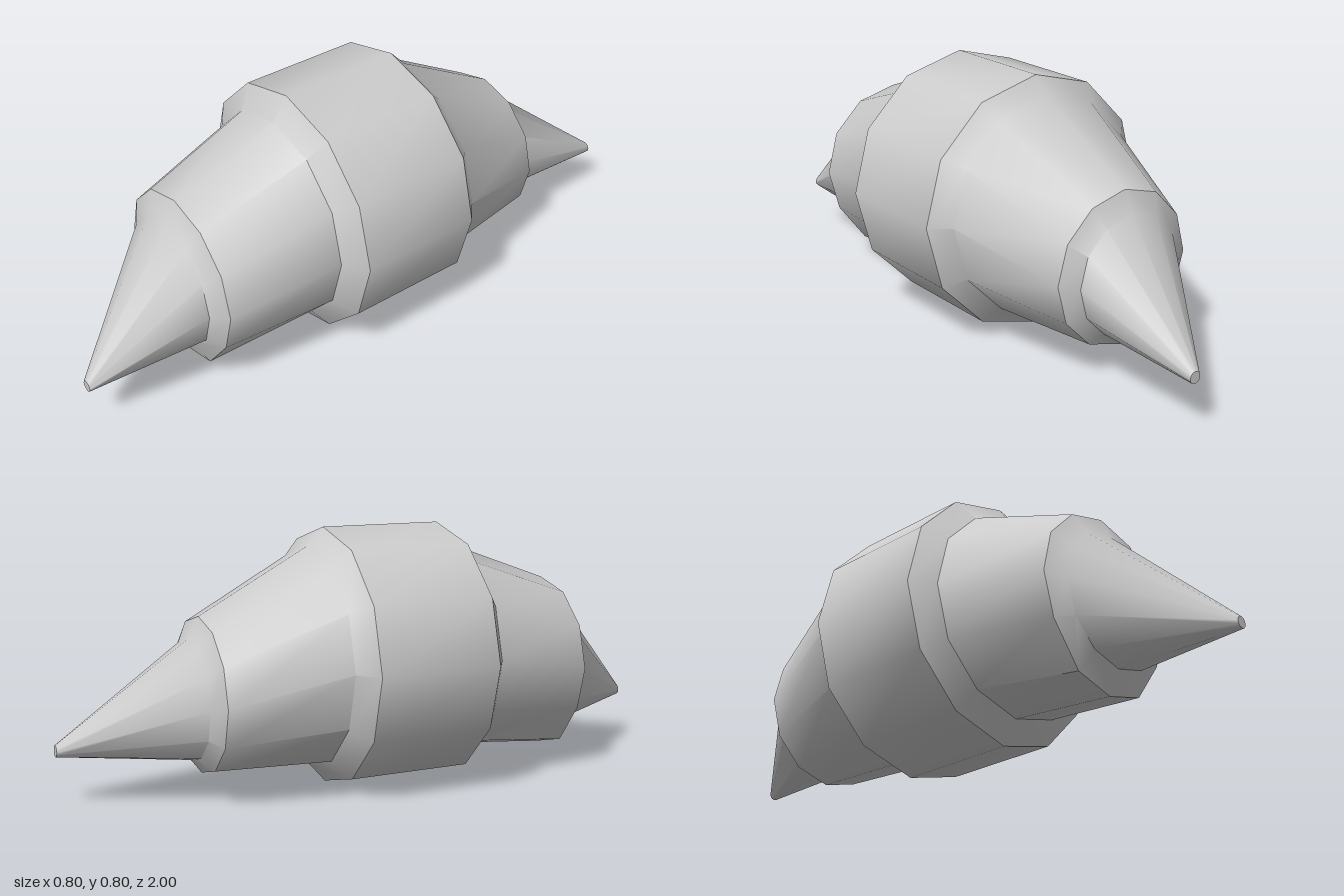
import * as THREE from 'three';
import { toCreasedNormals } from 'three/addons/utils/BufferGeometryUtils.js';

const SIDES = 12;

// Rings from front to back: z, centre x, centre y, radius, belly sag
const noseTip = [1, 0.088, 0.17, 0.018, 0];
const noseBase = [0.65, 0, 0.322, 0.208, 0];
const frontRim = [0.615, 0, 0.338, 0.266, 0.03];
const frontNeck = [0.265, 0, 0.402, 0.328, 0];
const bandFront = [0.215, 0, 0.402, 0.4, 0];
const bandBack = [-0.18, 0, 0.402, 0.4, 0];
const backNeck = [-0.235, 0, 0.405, 0.34, 0];
const backRim = [-0.587, 0, 0.316, 0.238, 0];
const tailBase = [-0.62, 0, 0.305, 0.184, 0];
const tailTip = [-1, 0.107, 0.167, 0.018, 0];

// Point j of a twelve-sided ring, with the three lowest corners sagging
function corner([z, cx, cy, r, sag], j) {
  const a = (j / SIDES) * Math.PI * 2;
  const drop = Math.cos(a) < -0.8 ? sag : 0;
  return [cx + r * Math.sin(a), cy + r * Math.cos(a) - drop, z];
}

// Skin a run of rings, optionally closing the first or last one
function loft(name, rings, { capFront = false, capBack = false } = {}) {
  const pos = [];
  const tri = (...pts) => pts.forEach((p) => pos.push(...p));
  for (let j = 0; j < SIDES; j++) {
    for (let i = 0; i < rings.length - 1; i++) {
      const a = corner(rings[i], j), b = corner(rings[i], j + 1);
      const c = corner(rings[i + 1], j), d = corner(rings[i + 1], j + 1);
      tri(a, b, c);
      tri(b, d, c);
    }
    const first = rings[0], last = rings[rings.length - 1];
    if (capFront) tri([first[1], first[2], first[0]], corner(first, j + 1), corner(first, j));
    if (capBack) tri([last[1], last[2], last[0]], corner(last, j), corner(last, j + 1));
  }
  const geo = new THREE.BufferGeometry();
  geo.setAttribute('position', new THREE.Float32BufferAttribute(pos, 3));
  const mesh = new THREE.Mesh(
    toCreasedNormals(geo, THREE.MathUtils.degToRad(36)),
    new THREE.MeshStandardMaterial({ color: 0xcccccc })
  );
  mesh.name = name;
  return mesh;
}

export function createModel() {
  const model = new THREE.Group();
  model.name = 'segmentedBody';
  model.add(
    // Drooping off-centre nose cone
    loft('frontCone', [noseTip, noseBase, frontRim], { capFront: true }),
    // Tapered front segment with its shoulder
    loft('frontSegment', [frontRim, frontNeck, bandFront]),
    // Wide straight middle
    loft('middleBand', [bandFront, bandBack]),
    // Tapered back segment with its shoulder
    loft('backSegment', [bandBack, backNeck, backRim]),
    // Drooping off-centre tail cone
    loft('backCone', [backRim, tailBase, tailTip], { capBack: true })
  );
  return model;
}
